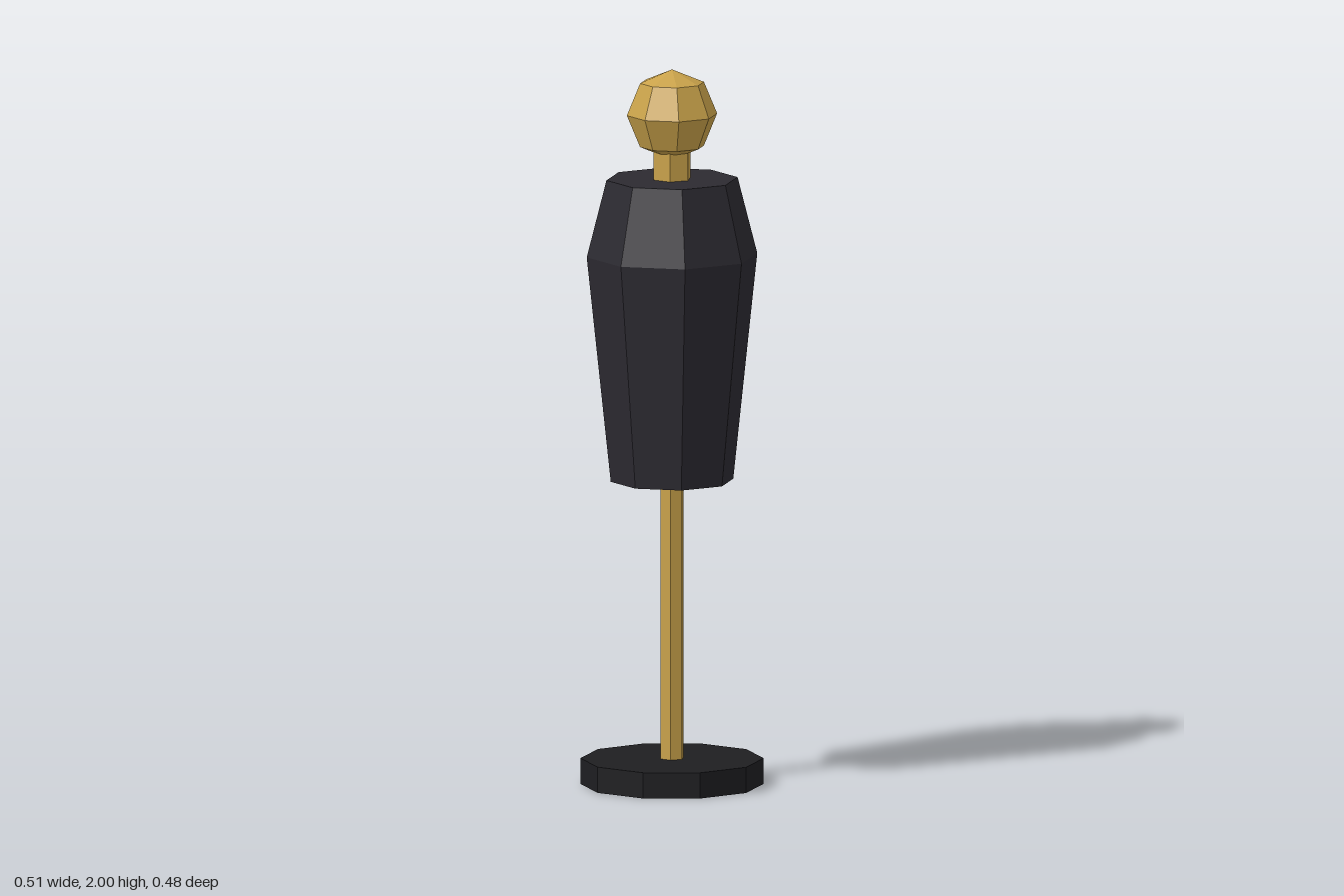
import * as THREE from 'three';

// Faceted stand-mounted torso form: base, pole, torso, neck and ball head.
export function createModel() {
  const model = new THREE.Group();
  const material = (color) => new THREE.MeshStandardMaterial({ color, flatShading: true });
  const gold = material(0xc9a24a);
  const cloth = material(0x2c2a31);
  const black = material(0x1e1e21);

  const add = (name, geometry, mat, y = 0) => {
    const mesh = new THREE.Mesh(geometry, mat);
    mesh.name = name;
    mesh.position.y = y;
    model.add(mesh);
  };

  // Prism from y0 to y1 with a corner pointing along +x
  const prism = (radius, y0, y1, sides) =>
    new THREE.CylinderGeometry(radius, radius, y1 - y0, sides)
      .rotateY(Math.PI / 2)
      .translate(0, (y0 + y1) / 2, 0);

  add('base', prism(0.253, 0, 0.072, 10), black);
  add('pole', prism(0.034, 0.072, 0.85, 6), gold);

  // Eight-sided torso, widest at the shoulders, closed at both ends
  const profile = [[0, 0.85], [0.171, 0.85], [0.238, 1.48], [0.183, 1.694], [0, 1.694]]
    .map(([r, y]) => new THREE.Vector2(r, y));
  add('torso', new THREE.LatheGeometry(profile, 8), cloth);

  add('neck', prism(0.055, 1.694, 1.79, 6), gold);
  add('head', new THREE.SphereGeometry(0.126, 8, 4), gold, 1.874);

  return model;
}
